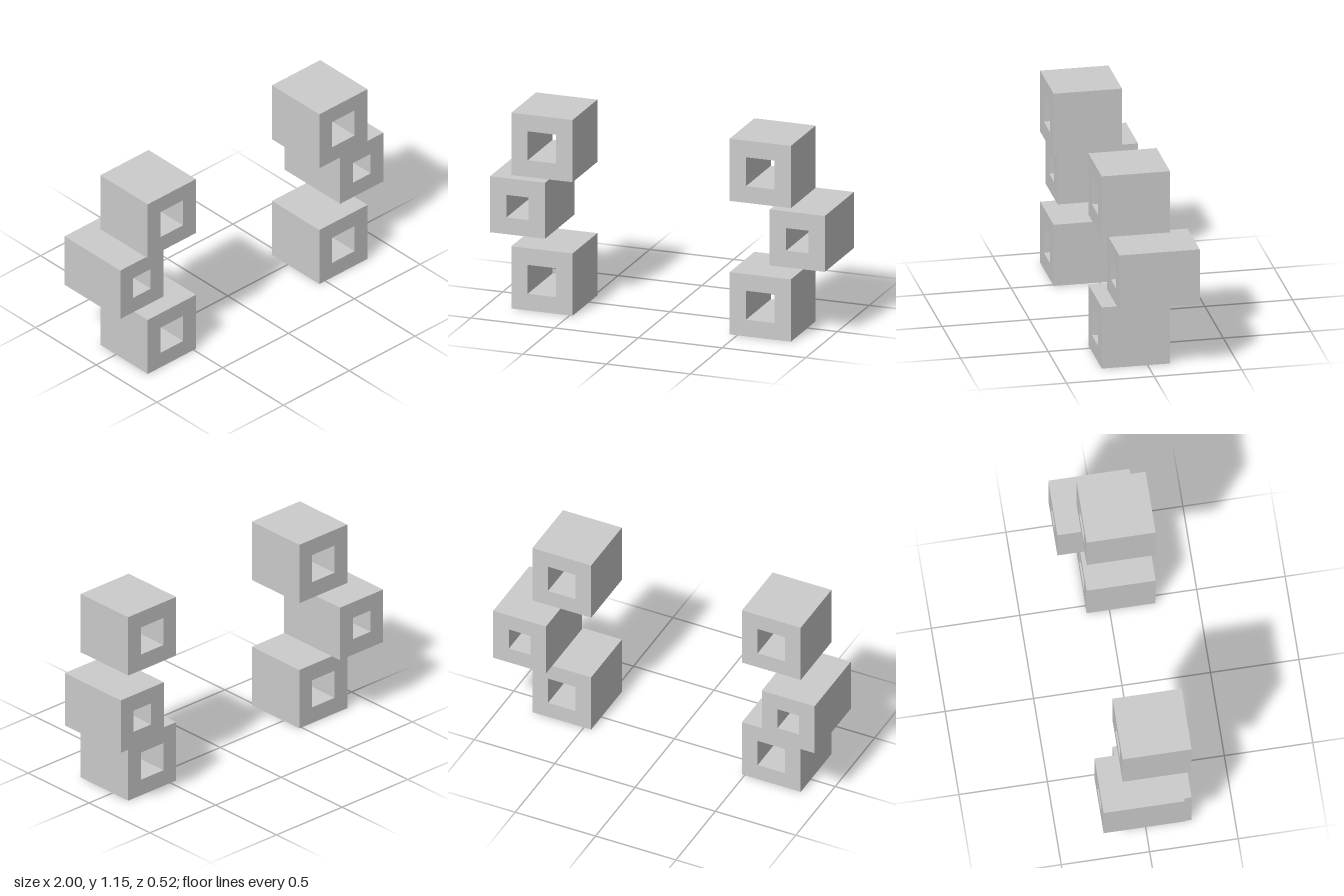
import * as THREE from 'three';

const material = new THREE.MeshStandardMaterial({ color: 0xcccccc, flatShading: true });

// Square outline around the origin
function square(PathType, size) {
  const h = size / 2;
  return new PathType([
    new THREE.Vector2(-h, -h), new THREE.Vector2(h, -h),
    new THREE.Vector2(h, h), new THREE.Vector2(-h, h),
  ]);
}

// Square block with a square channel running front to back
function hollowBlock(name, size, hole, depth, x, y, z) {
  const shape = square(THREE.Shape, size);
  shape.holes.push(square(THREE.Path, hole));
  const geometry = new THREE.ExtrudeGeometry(shape, { depth, bevelEnabled: false });
  geometry.translate(0, 0, -depth / 2);
  const mesh = new THREE.Mesh(geometry, material);
  mesh.name = name;
  mesh.position.set(x, y, z);
  return mesh;
}

export function createModel() {
  const model = new THREE.Group();
  model.name = 'hollowBlocks';

  // One stack of three blocks on each side; the middle one sits outward and back
  for (const [side, outerX, middleX] of [['right', -0.666, -0.8355], ['left', 0.638, 0.8355]]) {
    const stack = new THREE.Group();
    stack.name = side + 'Stack';
    stack.add(
      hollowBlock('lowerBlock', 0.366, 0.17, 0.39, outerX, 0.183, 0.066),
      hollowBlock('middleBlock', 0.329, 0.133, 0.459, middleX, 0.576, -0.031),
      hollowBlock('upperBlock', 0.366, 0.17, 0.39, outerX, 0.968, 0.066),
    );
    model.add(stack);
  }
  return model;
}
